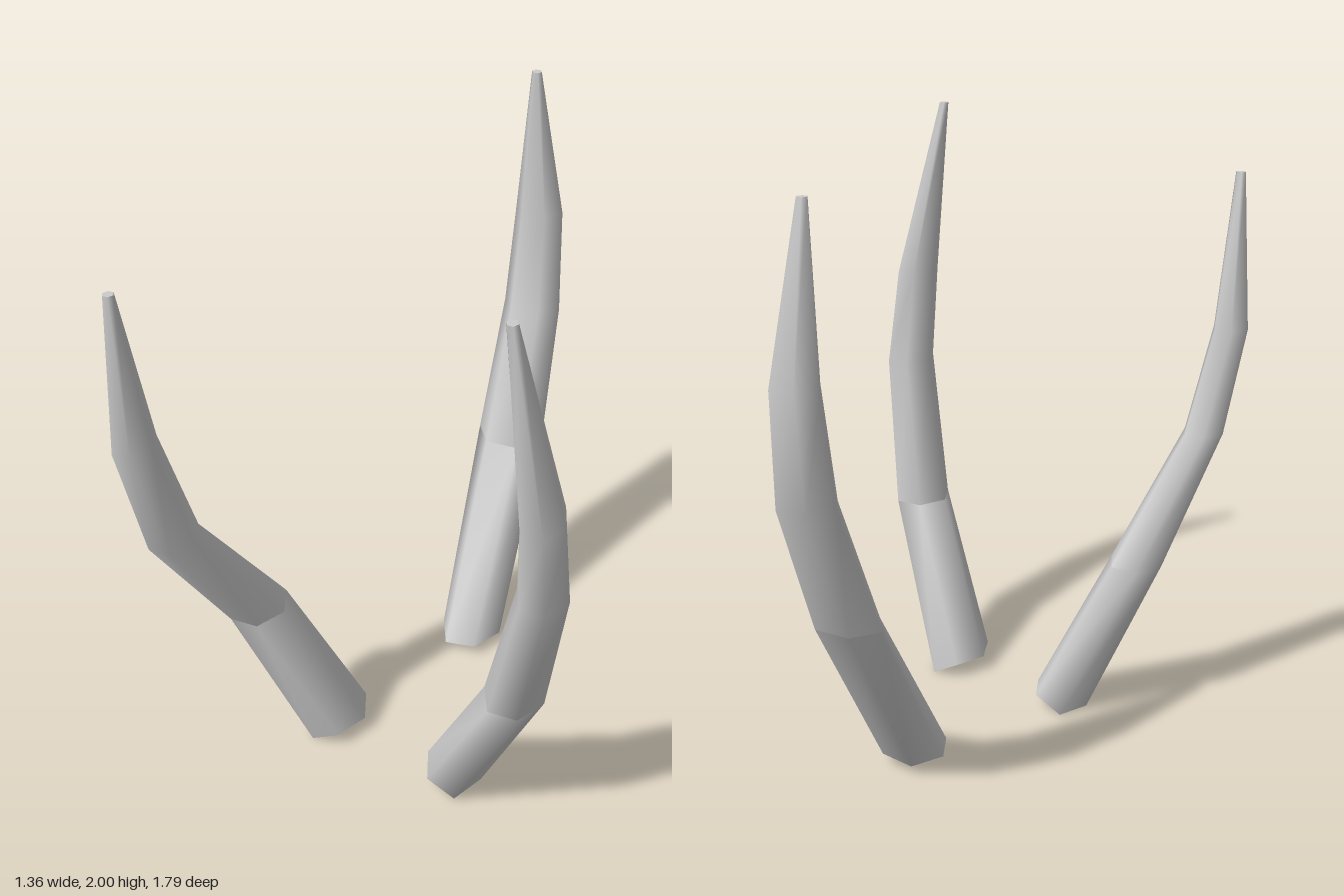
import * as THREE from 'three';

const SIDES = 6;
const FLAT = Math.sin(Math.PI / 3); // hexagon flats face front and back

// Cross-sections from base to tip: [x, y, z, half width, half depth]
// slant: rise of the base on its -x and +x halves
const HORNS = [
  {
    name: 'backHorn', slant: [-0.005, 0.01],
    rings: [
      [0.005, 0.03, -0.21, 0.11, 0.11],
      [-0.01, 0.64, -0.605, 0.12, 0.085],
      [-0.012, 1.08, -0.795, 0.103, 0.078],
      [-0.01, 1.44, -0.833, 0.085, 0.062],
      [-0.018, 1.955, -0.785, 0.017, 0.015],
    ],
  },
  {
    name: 'leftHorn', slant: [0.052, 0],
    rings: [
      [0.22, 0, 0.455, 0.095, 0.115],
      [0.48, 0.57, 0.61, 0.096, 0.1],
      [0.593, 1.07, 0.71, 0.078, 0.093],
      [0.615, 1.39, 0.8, 0.065, 0.085],
      [0.537, 2, 0.858, 0.017, 0.016],
    ],
  },
  {
    name: 'rightHorn', slant: [0, 0.052],
    rings: [
      [-0.233, 0, 0.395, 0.096, 0.11],
      [-0.448, 0.54, 0.51, 0.094, 0.1],
      [-0.568, 0.96, 0.765, 0.07, 0.085],
      [-0.62, 1.32, 0.83, 0.061, 0.07],
      [-0.605, 1.84, 0.88, 0.017, 0.015],
    ],
  },
];

function ringPoints([x, y, z, rx, rz], slant = [0, 0]) {
  return Array.from({ length: SIDES }, (_, i) => {
    const a = (i / SIDES) * Math.PI * 2;
    const c = Math.cos(a);
    return new THREE.Vector3(x + rx * c, y + (c < 0 ? slant[0] : slant[1]), z + (rz * Math.sin(a)) / FLAT);
  });
}

function meshFrom(points, index, name, material) {
  const geo = new THREE.BufferGeometry().setFromPoints(points);
  geo.setIndex(index);
  geo.computeVertexNormals();
  const mesh = new THREE.Mesh(geo, material);
  mesh.name = name;
  return mesh;
}

// Smooth tube through a list of rings
function skin(rings, name, material) {
  const index = [];
  for (let j = 0; j < rings.length - 1; j++) {
    for (let i = 0; i < SIDES; i++) {
      const n = (i + 1) % SIDES;
      const a = j * SIDES + i, b = j * SIDES + n;
      index.push(a, a + SIDES, b, b, a + SIDES, b + SIDES);
    }
  }
  return meshFrom(rings.flat(), index, name, material);
}

// Flat end closing a ring
function cap(ring, up, name, material) {
  const index = [];
  for (let i = 1; i < SIDES - 1; i++) index.push(0, ...(up ? [i + 1, i] : [i, i + 1]));
  return meshFrom(ring, index, name, material);
}

export function createModel() {
  const model = new THREE.Group();
  model.name = 'horns';
  const material = new THREE.MeshStandardMaterial({ color: 0xcccccc });

  for (const { name, slant, rings } of HORNS) {
    const horn = new THREE.Group();
    horn.name = name;
    const loops = rings.map((r, j) => ringPoints(r, j === 0 ? slant : undefined));
    horn.add(
      skin(loops.slice(0, 2), 'hornRoot', material), // straight root with a hard edge above
      skin(loops.slice(1), 'hornShaft', material), // curved, tapering shaft
      cap(loops[0], false, 'hornBase', material),
      cap(loops[loops.length - 1], true, 'hornTip', material),
    );
    model.add(horn);
  }
  return model;
}
